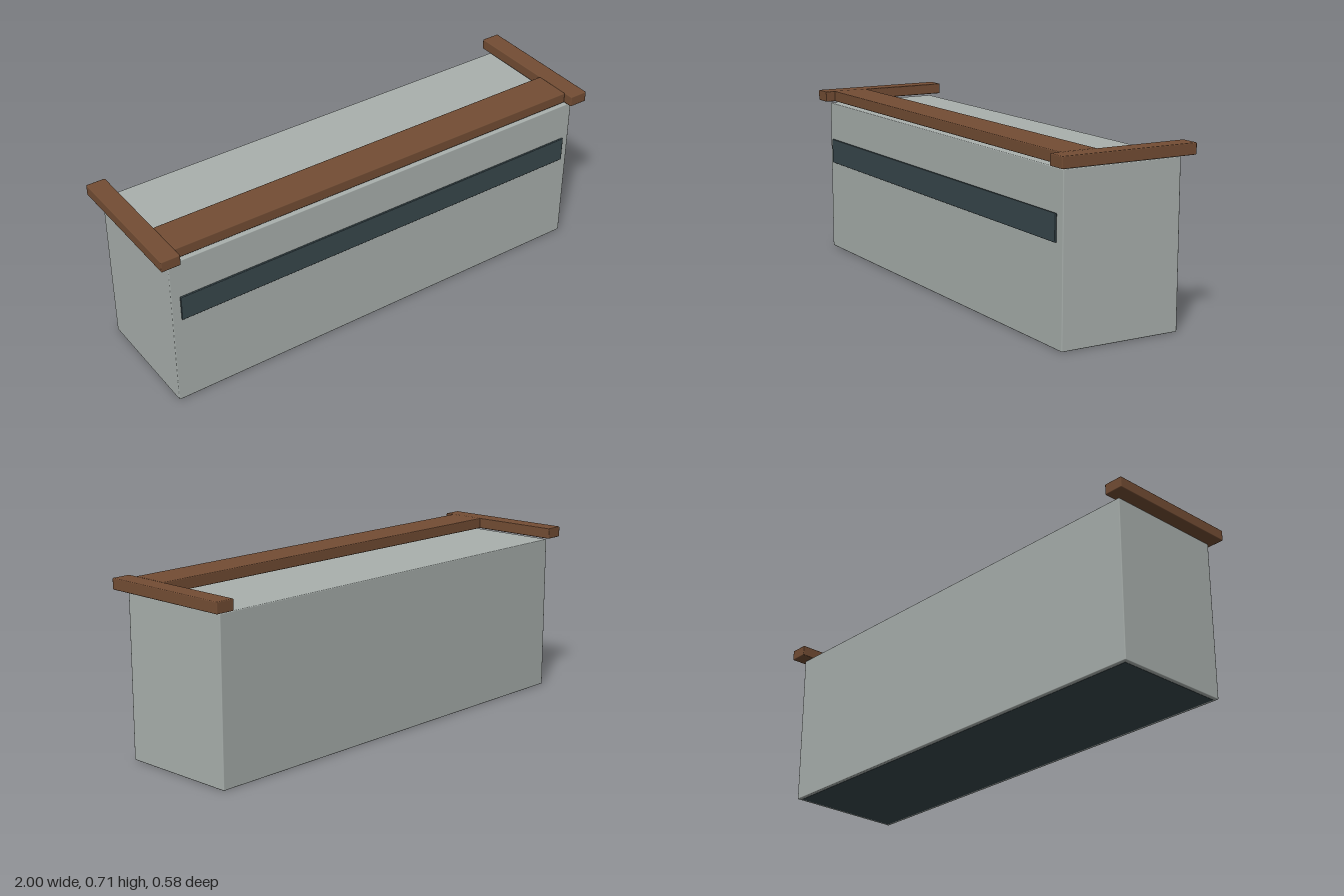
import * as THREE from 'three';
import { RoundedBoxGeometry } from 'three/addons/geometries/RoundedBoxGeometry.js';

function material(name, color) {
  const m = new THREE.MeshStandardMaterial({ color });
  m.name = name;
  return m;
}

export function createModel() {
  const concrete = material('pale grey', 0xa9b0ad);
  const wood = material('brown wood', 0x734d34);
  const dark = material('dark slate', 0x38474c);

  const model = new THREE.Group();
  model.name = 'bench';

  // Box with softened edges, given by its lower and upper corners
  function block(name, mat, lo, hi, bevel) {
    const size = hi.map((v, i) => v - lo[i]);
    const mesh = new THREE.Mesh(new RoundedBoxGeometry(...size, 1, bevel), mat);
    mesh.position.set(...hi.map((v, i) => (v + lo[i]) / 2));
    mesh.name = name;
    model.add(mesh);
  }

  // Solid base block and the dark plate under it
  block('body', concrete, [-0.955, 0.001, -0.253], [0.955, 0.658, 0.253], 0.004);
  const plate = new THREE.Mesh(new THREE.BoxGeometry(1.88, 0.008, 0.476), dark);
  plate.position.y = 0.004;
  plate.name = 'basePlate';
  model.add(plate);

  // Long inlay strip on the front
  block('frontStrip', dark, [-0.92, 0.392, 0.255], [0.92, 0.498, 0.264], 0.003);

  // Seat board along the front, with a cross board at each end
  block('seatBoard', wood, [-0.921, 0.668, 0.09], [0.921, 0.713, 0.248], 0.004);
  for (const [name, x] of [['rightEndBoard', -0.96], ['leftEndBoard', 0.96]]) {
    block(name, wood, [x - 0.04, 0.668, -0.289], [x + 0.04, 0.713, 0.289], 0.004);
  }

  return model;
}
